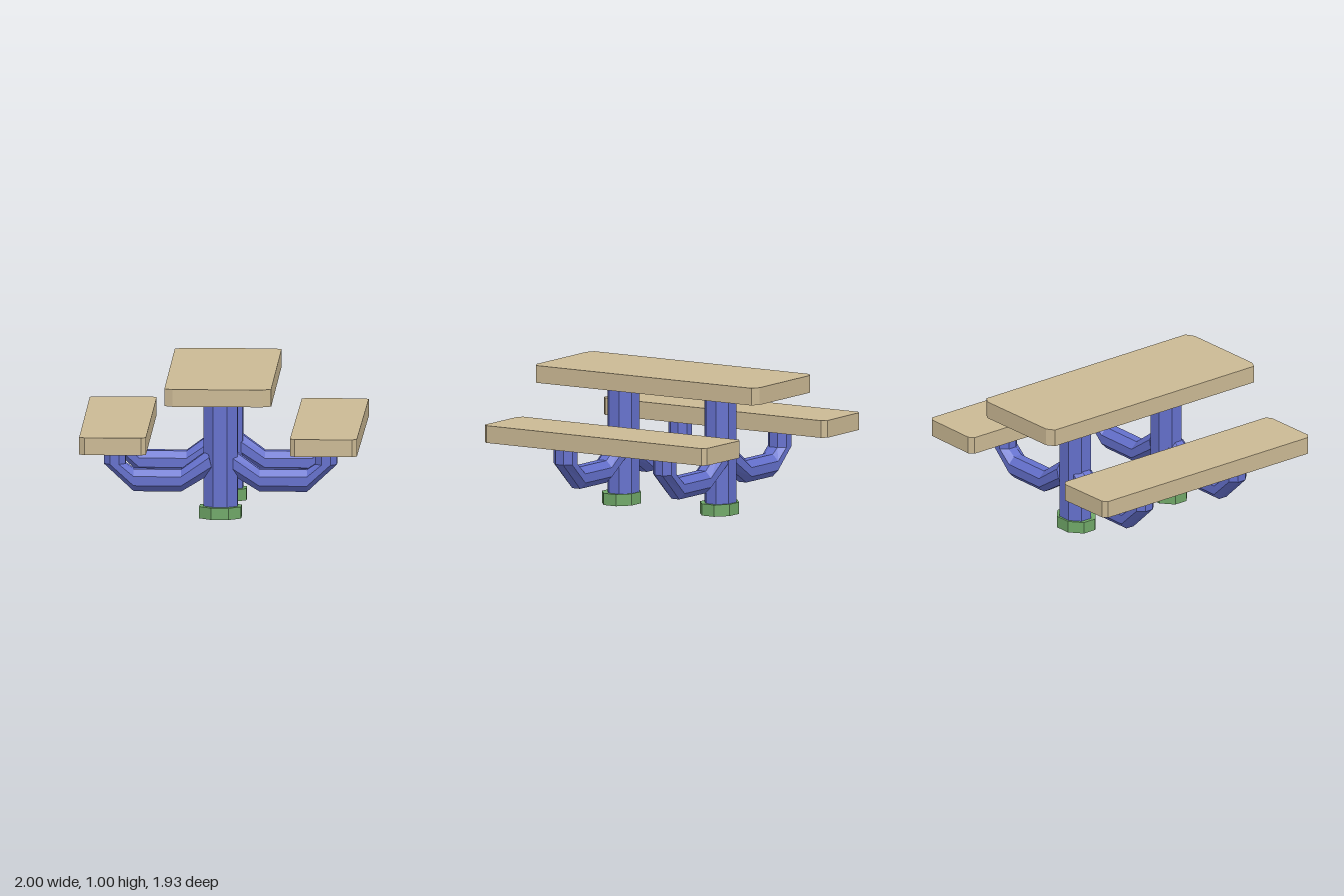
import * as THREE from 'three';

const paint = (color) => new THREE.MeshStandardMaterial({ color, flatShading: true });
const wood = paint(0xcbb994);
const blue = paint(0x6470cc);
const green = paint(0x70a868);

// Slab with chamfered corners, from an [x, z] outline and its top and bottom heights
function slab(name, outline, bottom, top) {
  const shape = new THREE.Shape(outline.map(([x, z]) => new THREE.Vector2(x, z)));
  const geo = new THREE.ExtrudeGeometry(shape, { depth: top - bottom, bevelEnabled: false });
  geo.rotateX(Math.PI / 2).translate(0, top, 0);
  const mesh = new THREE.Mesh(geo, wood);
  mesh.name = name;
  return mesh;
}

// Upright octagonal prism with flat sides facing the axes
function octagon(name, halfX, halfZ, bottom, top, z, material) {
  const r = 1 / Math.cos(Math.PI / 8);
  const geo = new THREE.CylinderGeometry(r, r, top - bottom, 8);
  geo.rotateY(Math.PI / 8).scale(halfX, 1, halfZ).translate(0, (top + bottom) / 2, z);
  const mesh = new THREE.Mesh(geo, material);
  mesh.name = name;
  return mesh;
}

// Bent octagonal arm running from under the seat into the post.
// Each section is [centre x, centre y, half-height x, half-height y].
function armGeometry() {
  const sections = [
    [0.757, 0.53, -0.078, 0],
    [0.757, 0.39, -0.078, 0],
    [0.62, 0.27, 0, 0.08],
    [0.28, 0.27, 0, 0.08],
    [0.07, 0.41, 0.02, 0.08],
  ];
  const n = 8, r = 1 / Math.cos(Math.PI / n), pos = [], index = [];
  for (const [cx, cy, hx, hy] of sections) {
    for (let j = 0; j < n; j++) {
      const a = ((j + 0.5) / n) * Math.PI * 2;
      const c = Math.cos(a) * r;
      pos.push(cx + hx * c, cy + hy * c, 0.08 * r * Math.sin(a));
    }
  }
  for (let i = 0; i < sections.length - 1; i++) {
    for (let j = 0; j < n; j++) {
      const a = i * n + j, b = i * n + (j + 1) % n;
      index.push(a, b + n, b, a, a + n, b + n);
    }
  }
  // End caps
  const last = (sections.length - 1) * n;
  for (let j = 1; j < n - 1; j++) {
    index.push(0, j, j + 1, last, last + j + 1, last + j);
  }
  const geo = new THREE.BufferGeometry();
  geo.setAttribute('position', new THREE.Float32BufferAttribute(pos, 3));
  geo.setIndex(index);
  const flat = geo.toNonIndexed();
  flat.computeVertexNormals();
  return flat;
}

export function createModel() {
  const model = new THREE.Group();
  model.name = 'picnicTable';

  // Table top and the two bench seats
  model.add(slab('tableTop', [
    [-0.39, -0.925], [-0.335, -0.963], [0.32, -0.97], [0.375, -0.935],
    [0.385, 0.915], [0.32, 0.95], [-0.32, 0.955], [-0.38, 0.925],
  ], 0.88, 1.005));
  model.add(slab('rightSeat', [
    [-1, -0.935], [-0.965, -0.963], [-0.555, -0.97], [-0.52, -0.935],
    [-0.512, 0.92], [-0.545, 0.95], [-0.95, 0.955], [-0.99, 0.925],
  ], 0.525, 0.65));
  model.add(slab('leftSeat', [
    [0.52, -0.925], [0.555, -0.955], [0.97, -0.952], [1, -0.925],
    [1, 0.93], [0.965, 0.963], [0.555, 0.963], [0.52, 0.935],
  ], 0.525, 0.65));

  // Posts standing in octagonal feet
  for (const [end, postZ, footZ] of [['front', 0.42, 0.436], ['back', -0.418, -0.41]]) {
    model.add(octagon(end + 'Post', 0.122, 0.104, 0.03, 0.885, postZ, blue));
    model.add(octagon(end + 'Foot', 0.15, 0.127, 0, 0.085, footZ, green));
  }

  // Four seat arms
  const arm = armGeometry();
  for (const [name, z, turn] of [
    ['frontLeftArm', 0.41, 0], ['backLeftArm', -0.445, 0],
    ['frontRightArm', 0.437, Math.PI], ['backRightArm', -0.42, Math.PI],
  ]) {
    const mesh = new THREE.Mesh(arm, blue);
    mesh.name = name;
    mesh.position.z = z;
    mesh.rotation.y = turn;
    model.add(mesh);
  }
  return model;
}
